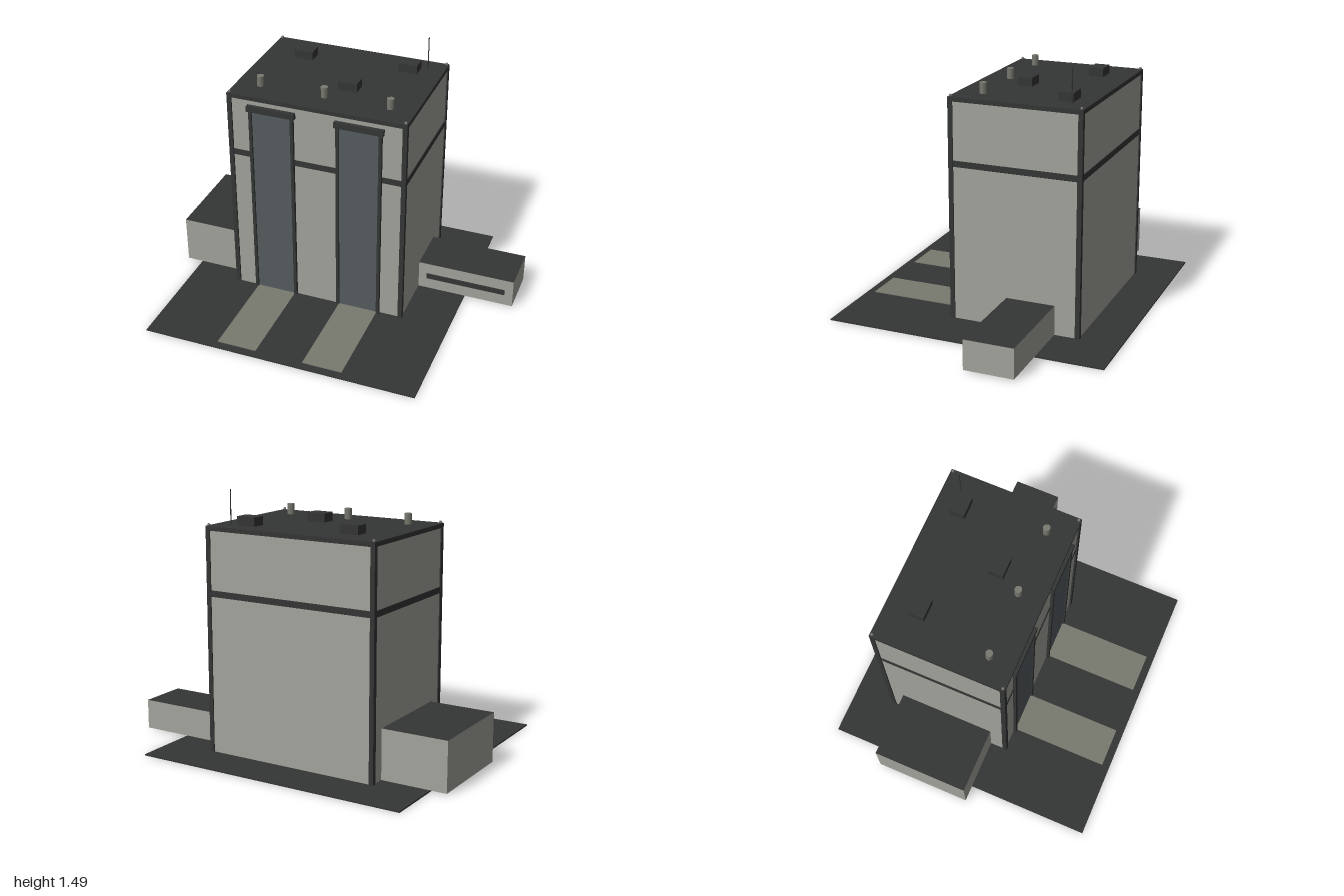
import * as THREE from 'three';

const mat = (name, color) => {
  const m = new THREE.MeshStandardMaterial({ color });
  m.name = name;
  return m;
};

export function createModel() {
  const wall = mat('wall grey', 0xa2a39c);
  const dark = mat('dark trim', 0x343535);
  const door = mat('door blue grey', 0x555b5f);
  const pad = mat('concrete', 0x78796f);
  const root = new THREE.Group();
  root.name = 'industrialBuilding';

  const add = (name, geo, material, x, y, z) => {
    const m = new THREE.Mesh(geo, material);
    m.name = name;
    m.position.set(x, y, z);
    root.add(m);
    return m;
  };
  // Box given by its extents on each axis
  const box = (name, material, x0, x1, y0, y1, z0, z1) =>
    add(name, new THREE.BoxGeometry(x1 - x0, y1 - y0, z1 - z0), material,
      (x0 + x1) / 2, (y0 + y1) / 2, (z0 + z1) / 2);

  // Grey sides with dark top and bottom
  const capped = [wall, wall, dark, dark, wall, wall];
  const X0 = -0.622, X1 = 0.43, Z0 = -0.575, Z1 = 0.195, G = 0.008;

  // Site slab
  box('ground', dark, -0.905, 0.71, 0, G, -0.81, 0.81);

  // Main hall and side annexes
  box('mainHall', wall, X0 + 0.006, X1 - 0.006, G, 1.27, Z0 + 0.006, Z1 - 0.01);
  box('rightAnnex', capped, -1, X0 + 0.01, G, 0.293, -0.476, 0.09);
  box('leftAnnex', capped, X1 - 0.01, 1, G, 0.18, -0.428, -0.144);
  box('annexWindow', dark, 0.473, 0.95, 0.08, 0.112, -0.145, -0.137);

  // Roof slab and the band around the walls
  box('roof', dark, X0, X1, 1.265, 1.29, Z0, Z1);
  box('wallBand', dark, X0 + 0.002, X1 - 0.002, 0.9, 0.935, Z0 + 0.002, Z1 - 0.006);

  // Corner posts with round caps
  for (const x of [X0 + 0.013, X1 - 0.013])
    for (const z of [Z0 + 0.013, Z1 - 0.014]) {
      box('cornerPost', dark, x - 0.013, x + 0.013, G, 1.29, z - 0.013, z + 0.014);
      add('postCap', new THREE.SphereGeometry(0.009, 8, 6), pad, x, 1.295, z);
    }

  // Tall doors with frame, lintel and driveway
  for (const x of [-0.358, 0.158]) {
    box('doorPanel', door, x - 0.118, x + 0.118, G, 1.192, 0.184, 0.193);
    for (const s of [-1, 1])
      box('doorFrame', dark, x + s * 0.124 - 0.009, x + s * 0.124 + 0.009, G, 1.205, 0.18, 0.203);
    box('doorLintel', dark, x - 0.143, x + 0.143, 1.2, 1.235, 0.18, 0.209);
    box('driveway', pad, x - 0.117, x + 0.117, G - 0.002, 0.012, 0.185, 0.765);
  }

  // Rooftop units
  for (const [x, z] of [[-0.382, -0.385], [0.236, -0.43], [-0.003, -0.099]])
    box('roofUnit', dark, x - 0.056, x + 0.056, 1.288, 1.34, z - 0.042, z + 0.042);

  // Vent pipes
  for (const x of [-0.479, -0.098, 0.285])
    add('ventPipe', new THREE.CylinderGeometry(0.021, 0.021, 0.062, 8), pad, x, 1.32, 0.048);

  // Antenna
  add('antenna', new THREE.CylinderGeometry(0.003, 0.003, 0.196, 6), dark, 0.331, 1.387, -0.477);

  return root;
}
